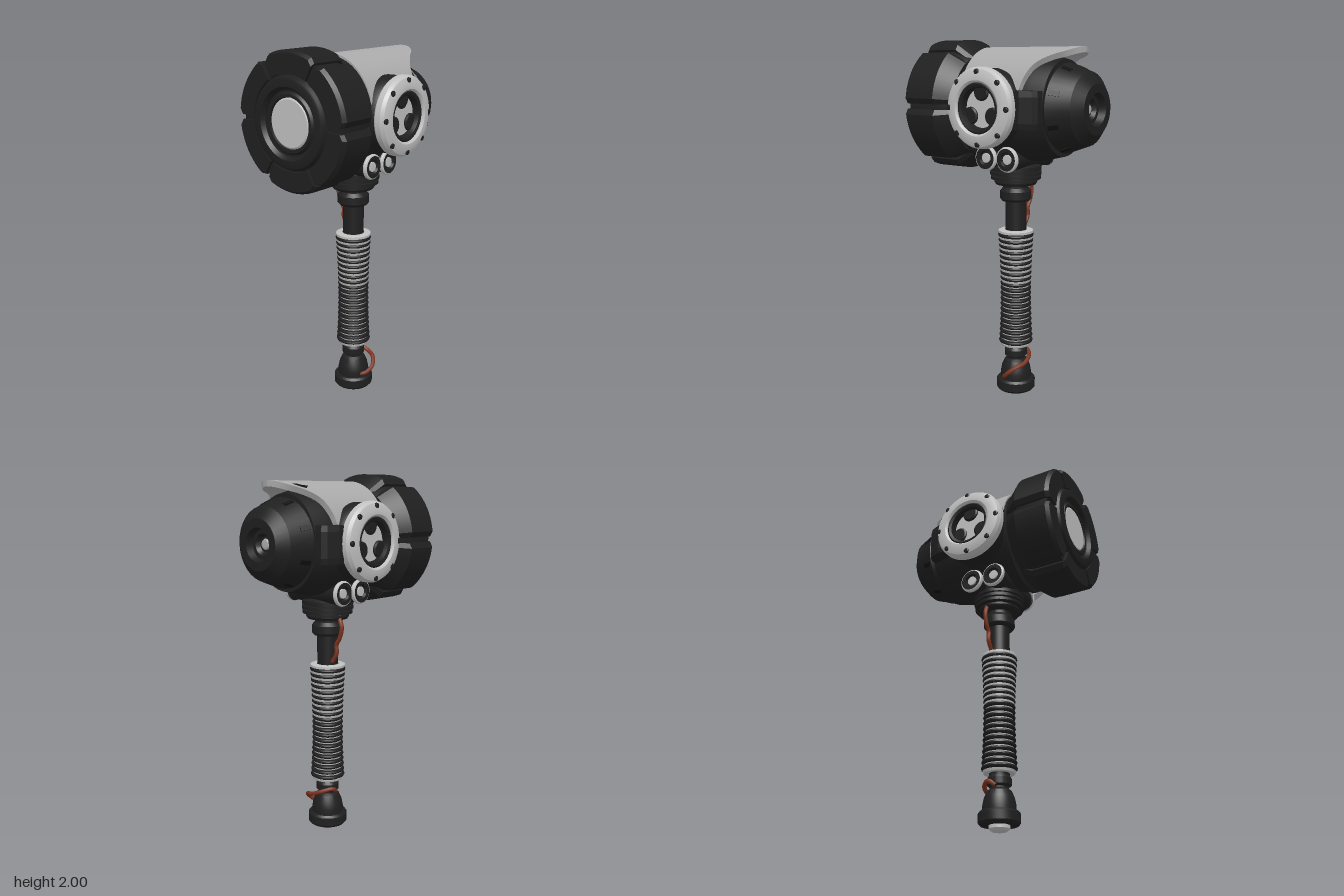
import * as THREE from 'three';
import { toCreasedNormals } from 'three/addons/utils/BufferGeometryUtils.js';

const mat = (name, color, side = THREE.FrontSide) => {
  const m = new THREE.MeshStandardMaterial({ color, side });
  m.name = name;
  return m;
};
const V2 = (p) => new THREE.Vector2(p[0], p[1]);
const V3 = (p) => new THREE.Vector3(...p);

// Turned part: profile of [radius, height] pairs, listed upwards
const turned = (profile, segments = 48) =>
  toCreasedNormals(new THREE.LatheGeometry(profile.map(V2), segments), 0.5);
const alongZ = (profile, segments) => turned(profile, segments).rotateX(Math.PI / 2);
const alongX = (profile, segments) => turned(profile, segments).rotateZ(-Math.PI / 2);

export function createModel() {
  const dark = mat('dark metal', 0x1f1f1f);
  const black = mat('black recess', 0x111111, THREE.DoubleSide);
  const light = mat('plate steel', 0xaaaaaa);
  const bright = mat('bright steel', 0xc0c0c0);
  const copper = mat('copper cable', 0x7c3420);

  const model = new THREE.Group();
  model.name = 'hammer';
  const add = (name, geo, material, parent) => {
    const mesh = new THREE.Mesh(geo, material);
    mesh.name = name;
    parent.add(mesh);
    return mesh;
  };

  // ---- Handle ----
  const handle = new THREE.Group();
  handle.name = 'handle';
  model.add(handle);
  add('pommel', turned([[0, 0.03], [0.1, 0.03], [0.11, 0.042], [0.11, 0.088], [0.1, 0.1], [0.088, 0.1],
    [0.088, 0.13], [0.08, 0.17], [0.064, 0.205], [0.05, 0.215], [0.05, 0.225], [0.064, 0.235],
    [0.064, 0.27], [0.055, 0.285], [0.055, 0.31]]), dark, handle);
  add('pommelCap', turned([[0, 0], [0.04, 0], [0.055, 0.012], [0.055, 0.035]]), bright, handle);

  // Ribbed grip, slightly waisted
  const ribs = 21, gripBottom = 0.31, pitch = 0.65 / ribs;
  const gripRadius = (y) => 0.084 + 0.014 * Math.pow(Math.abs(y - 0.6) / 0.35, 2);
  const gripProfile = [[0.055, gripBottom]];
  for (let i = 0; i < ribs; i++) {
    const y = gripBottom + i * pitch, r = gripRadius(y);
    gripProfile.push([r - 0.012, y], [r, y + pitch * 0.2], [r + 0.003, y + pitch * 0.45],
      [r, y + pitch * 0.7], [r - 0.012, y + pitch * 0.85]);
  }
  gripProfile.push([0.08, 0.965], [0.06, 0.965]);
  add('grip', turned(gripProfile, 36), dark, handle);
  // Bright rings in the grooves, wider towards the top
  for (let i = 1; i < ribs; i++) {
    const y = gripBottom + i * pitch;
    const upper = i > ribs - 10;
    const r = gripRadius(y) - (upper ? 0.002 : 0.008);
    add('grooveRing', new THREE.CylinderGeometry(r, r, upper ? 0.011 : 0.005, 36).translate(0, y - 0.002, 0),
      light, handle);
  }
  add('gripTopRing', turned([[0.06, 0.955], [0.097, 0.955], [0.097, 0.968], [0.088, 0.972], [0.06, 0.972]]), bright, handle);
  add('gripBottomRing', turned([[0.055, 0.297], [0.083, 0.297], [0.088, 0.31], [0.055, 0.312]]), bright, handle);

  add('rod', new THREE.CylinderGeometry(0.058, 0.058, 0.34, 32).translate(0, 1.09, 0), dark, handle);
  add('collar', turned([[0.058, 1.135], [0.076, 1.135], [0.087, 1.148], [0.087, 1.19], [0.076, 1.203],
    [0.07, 1.21], [0.07, 1.228], [0.11, 1.228], [0.118, 1.24], [0.118, 1.25], [0.105, 1.252], [0.105, 1.258],
    [0.138, 1.258], [0.138, 1.275], [0.122, 1.277], [0.122, 1.283], [0.142, 1.283], [0.142, 1.3],
    [0.128, 1.302], [0.128, 1.31], [0.142, 1.31], [0.142, 1.33], [0.12, 1.345], [0.12, 1.42]]), dark, handle);

  // ---- Cables ----
  const cable = (name, pts) => add(name,
    new THREE.TubeGeometry(new THREE.CatmullRomCurve3(pts.map(V3)), 40, 0.012, 8), copper, handle);
  cable('upperCable', [[-0.1, 1.25, -0.02], [-0.122, 1.19, -0.02], [-0.108, 1.13, -0.02],
    [-0.085, 1.09, -0.02], [-0.085, 1.04, -0.02], [-0.055, 0.99, -0.02]]);
  cable('lowerCable', [[-0.055, 0.225, 0.01], [-0.065, 0.25, -0.03], [-0.02, 0.235, -0.078], [0.04, 0.21, -0.09],
    [0.09, 0.195, -0.07], [0.118, 0.16, -0.03], [0.1, 0.125, 0.01], [0.07, 0.115, 0.03]]);

  // ---- Head: axis runs along z ----
  const head = new THREE.Group();
  head.name = 'head';
  head.position.y = 1.65;
  model.add(head);

  add('body', alongZ([[0, -0.325], [0.25, -0.32], [0.27, -0.24], [0.285, -0.16], [0.285, 0.16],
    [0.3, 0.17], [0.3, 0.19], [0.27, 0.2], [0.27, 0.26]]).scale(0.88, 1, 1), dark, head);
  add('rearCone', alongZ([[0, -0.45], [0.04, -0.45], [0.055, -0.47], [0.075, -0.47], [0.085, -0.508],
    [0.13, -0.508], [0.188, -0.462], [0.232, -0.34], [0.22, -0.325], [0.2, -0.3]], 32), dark, head);
  add('rearLens', alongZ([[0, -0.462], [0.024, -0.458], [0.03, -0.448]], 24), light, head);
  for (let i = 0; i < 8; i++) {
    const pivot = new THREE.Group();
    pivot.name = 'rearVent';
    pivot.rotation.z = (i + 0.5) * Math.PI / 4;
    head.add(pivot);
    const vent = add('ventSlot', new THREE.BoxGeometry(0.008, 0.025, 0.055), black, pivot);
    vent.position.set(0.218, 0, -0.375);
    vent.rotation.y = 0.35;
  }

  // Striking face: six bent blocks round a core
  add('faceCore', alongZ([[0.2, 0.2], [0.28, 0.21], [0.322, 0.3], [0.322, 0.475], [0.235, 0.48], [0.225, 0.505],
    [0.215, 0.51], [0.18, 0.51], [0.165, 0.49], [0.165, 0.482], [0.155, 0.482], [0.145, 0.495],
    [0.13, 0.495], [0.125, 0.475], [0, 0.475]], 60), dark, head);
  add('strikingDisc', alongZ([[0.126, 0.475], [0.126, 0.486], [0.118, 0.492], [0, 0.492]]), bright, head);
  const blockProfile = new THREE.Shape([[0.24, 0.22], [0.285, 0.205], [0.352, 0.29], [0.352, 0.475],
    [0.338, 0.495], [0.24, 0.495]].map(V2));
  const gap = 0.045, span = Math.PI / 3 - 2 * gap;
  for (let i = 0; i < 6; i++) {
    const geo = new THREE.ExtrudeGeometry(blockProfile, { depth: span, steps: 12, bevelEnabled: false });
    const p = geo.attributes.position;
    for (let k = 0; k < p.count; k++) {
      const w = p.getZ(k), z = p.getY(k);
      const end = w < 0.001 || w > span - 0.001;
      const r = p.getX(k) - (end && p.getX(k) > 0.28 ? 0.018 : 0);
      const a = (i + 1) * Math.PI / 3 - gap - w;
      p.setXYZ(k, r * Math.cos(a), r * Math.sin(a), z);
    }
    add('faceBlock', toCreasedNormals(geo, 0.25), dark, head);
  }

  // Curved top plate: a slab wrapped over the body, following an outline of [z, half width]
  const outline = new THREE.SplineCurve([[0.175, 0.262], [0.1, 0.236], [-0.03, 0.21], [-0.12, 0.222],
    [-0.195, 0.257], [-0.215, 0.235], [-0.25, 0.185], [-0.32, 0.135], [-0.38, 0.1], [-0.42, 0.055],
    [-0.435, 0.003]].map(V2));
  const plate = new THREE.BoxGeometry(2, 1, 1, 28, 1, 60);
  const pp = plate.attributes.position;
  for (let k = 0; k < pp.count; k++) {
    const o = outline.getPoint(0.5 - pp.getZ(k));
    const th = pp.getX(k) * Math.asin(Math.min(0.99, Math.max(0, o.y) / 0.27));
    const inset = pp.getY(k) < 0 ? 0.03 : 0;
    pp.setXYZ(k, (0.27 - inset) * Math.sin(th), (0.312 - inset) * Math.cos(th), o.x);
  }
  plate.computeVertexNormals();
  add('topPlate', plate, light, head);

  // Torn nick in the plate's edge
  const nick = new THREE.ShapeGeometry(new THREE.Shape([[-0.14, -0.3], [-0.12, -0.272], [-0.116, -0.305],
    [-0.102, -0.33], [-0.104, -0.362], [-0.13, -0.33]].map(V2)));
  const np = nick.attributes.position;
  for (let k = 0; k < np.count; k++) {
    const x = np.getX(k), z = np.getY(k);
    np.setXYZ(k, x, 0.318 * Math.sqrt(1 - (x / 0.275) ** 2), z);
  }
  nick.computeVertexNormals();
  add('plateNick', nick, black, head);

  // ---- Side assemblies, same on both sides ----
  for (const turn of [0, Math.PI]) {
    const side = new THREE.Group();
    side.name = turn ? 'rightSide' : 'leftSide';
    side.rotation.y = turn;
    head.add(side);

    const port = new THREE.Group();
    port.name = 'sidePort';
    port.position.set(0, 0.005, turn ? 0.01 : -0.01);
    side.add(port);
    add('portHousing', alongX([[0.2, 0.18], [0.2, 0.26], [0.185, 0.29], [0, 0.29]]), dark, port);
    add('portRing', alongX([[0.18, 0.285], [0.2, 0.285], [0.207, 0.295], [0.207, 0.325], [0.196, 0.343],
      [0.165, 0.356], [0.14, 0.356], [0.13, 0.348], [0.13, 0.29]], 60), bright, port);
    add('innerRing', alongX([[0.131, 0.29], [0.131, 0.34], [0.122, 0.345], [0.108, 0.34], [0.1, 0.31], [0.1, 0.29]]), dark, port);
    add('hub', alongX([[0.104, 0.29], [0.104, 0.306], [0, 0.306]]), bright, port);
    for (let i = 0; i < 3; i++) {
      const a = Math.PI / 2 + i * Math.PI * 2 / 3;
      add('hubStud', alongX([[0.046, 0.29], [0.046, 0.312], [0.038, 0.318], [0, 0.318]], 24), dark, port)
        .position.set(0, 0.082 * Math.sin(a), 0.082 * Math.cos(a));
    }
    for (let i = 0; i < 8; i++) {
      const a = i * Math.PI / 4;
      add('ringBolt', alongX([[0.015, 0.32], [0.015, 0.351], [0.01, 0.354], [0, 0.354]], 12), dark, port)
        .position.set(0, 0.182 * Math.sin(a), 0.182 * Math.cos(a));
    }

    // Chamfered shoulder behind the port; its outline is mirrored in z to stay at the rear
    const back = turn ? -1 : 1;
    const shoulder = new THREE.ExtrudeGeometry(new THREE.Shape([[0.18, 0.2], [0.295, 0.2], [0.297, 0.235],
      [0.275, 0.295], [0.25, 0.312], [0.18, 0.312]].map(V2)),
    { depth: 0.13, bevelThickness: 0.03, bevelSize: 0.005, bevelSegments: 1 });
    shoulder.translate(0, 0, -0.065).rotateX(-back * Math.PI / 2);
    add('shoulder', shoulder, dark, side);

    // Twin pins above the collar
    for (const z of [-0.075, 0.065]) {
      const pin = new THREE.Group();
      pin.name = 'pin';
      pin.position.set(0, -0.267, z * back);
      side.add(pin);
      add('pinBarrel', alongX([[0.06, 0], [0.06, 0.165], [0.066, 0.17], [0.066, 0.182], [0.058, 0.19],
        [0.04, 0.19], [0.034, 0.175], [0, 0.175]], 28), dark, pin);
      add('pinRim', alongX([[0.067, 0.17], [0.069, 0.178], [0.066, 0.188], [0.059, 0.192]], 28), bright, pin);
      add('pinCentre', alongX([[0.026, 0.17], [0.026, 0.184], [0, 0.186]], 20), bright, pin);
    }
  }
  return model;
}
